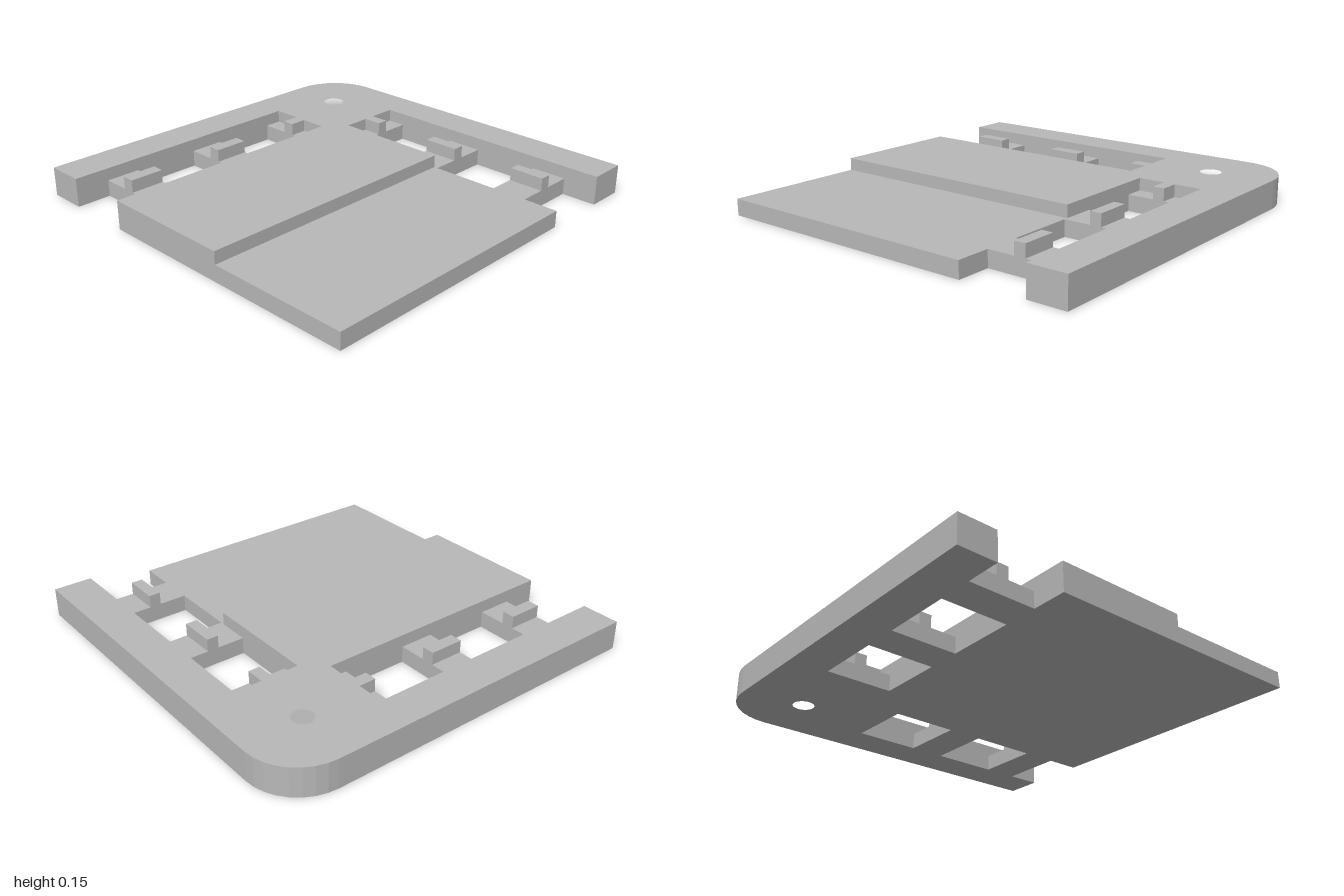
import * as THREE from 'three';

const LOW = 0.085, TOP = 0.15;      // ledge height and full height
const BACK = [-0.8, -0.45];         // z span of the back slot
const BACK_RIDGE = [-0.655, -0.59];
const SIDE = [0.455, 0.8];          // x span of the side slot
const SIDE_RIDGE = [0.595, 0.655];
const BACK_BRIDGES = [[-0.82, -0.64], [-0.28, -0.1]];
const SIDE_BRIDGES = [[0.09, 0.28], [0.635, 0.82]];
const STEP = 0.26;                  // z where the panel steps down

// plan points are [x, z]
const toV = (pts) => pts.map(([x, z]) => new THREE.Vector2(x, -z));
const rect = ([x0, x1], [z0, z1]) => [[x0, z0], [x0, z1], [x1, z1], [x1, z0]];

function roundedCorner(r = 0.27, n = 8) {
  const pts = [];
  for (let i = 0; i <= n; i++) {
    const a = (i / n) * Math.PI / 2;
    pts.push([1 - r + r * Math.sin(a), -1 + r - r * Math.cos(a)]);
  }
  return pts;
}

function circle(cx, cz, r, n = 24) {
  return Array.from({ length: n }, (_, i) => {
    const a = (i / n) * Math.PI * 2;
    return [cx + r * Math.cos(a), cz + r * Math.sin(a)];
  });
}

// Extrude a plan from y0 to y1, keeping the walls and only one of the two lids
function layer(outline, holes, y0, y1, lid) {
  const shape = new THREE.Shape(toV(outline));
  holes.forEach((h) => shape.holes.push(new THREE.Path(toV(h))));
  const g = new THREE.ExtrudeGeometry(shape, { depth: y1 - y0, bevelEnabled: false });
  const [lids, walls] = g.groups;
  const p = g.attributes.position.array;
  const half = lids.count / 2;
  const start = lid === 'bottom' ? 0 : half;
  const kept = [...p.slice(start * 3, (start + half) * 3), ...p.slice(walls.start * 3)];
  const out = new THREE.BufferGeometry();
  out.setAttribute('position', new THREE.Float32BufferAttribute(kept, 3));
  out.rotateX(-Math.PI / 2).translate(0, y0, 0);
  out.computeVertexNormals();
  return out;
}

export function createModel() {
  const group = new THREE.Group();
  group.name = 'slottedCornerPanel';
  const grey = new THREE.MeshStandardMaterial({ color: 0xb8b8b8 });
  grey.name = 'plain grey';
  const add = (name, geometry) => {
    const mesh = new THREE.Mesh(geometry, grey);
    mesh.name = name;
    group.add(mesh);
  };
  const ledge = (name, xs, zs) => {
    const g = new THREE.PlaneGeometry(xs[1] - xs[0], zs[1] - zs[0]).rotateX(-Math.PI / 2);
    add(name, g.translate((xs[0] + xs[1]) / 2, LOW, (zs[0] + zs[1]) / 2));
  };
  const pinHole = circle(0.675, -0.685, 0.055);

  // Lower layer: frame, panel and bridges with four windows
  add('base', layer(
    [[-1, -1], ...roundedCorner(), [1, 1], [0.8, 1], [0.8, 0.82], [0.455, 0.82], [0.455, 1],
      [-1, 1], [-1, -0.45], [-0.82, -0.45], [-0.82, -0.8], [-1, -0.8]],
    [pinHole, rect([-0.64, -0.28], BACK), rect([-0.1, 0.25], BACK),
      rect(SIDE, [-0.255, 0.09]), rect(SIDE, [0.28, 0.635])],
    0, LOW, 'bottom'));

  // Upper layer: frame arms, corner block with its two short tongues, raised panel
  add('frameAndRaisedPanel', layer(
    [[-1, -1], ...roundedCorner(), [1, 1], [0.8, 1],
      [0.8, -0.355], [0.655, -0.355], [0.655, -0.255], [0.595, -0.255], [0.595, -0.355], [0.455, -0.355],
      [0.455, STEP], [-1, STEP], [-1, -0.45],
      [0.34, -0.45], [0.34, -0.59], [0.25, -0.59], [0.25, -0.655], [0.34, -0.655], [0.34, -0.8], [-1, -0.8]],
    [pinHole], LOW, TOP, 'top'));

  // Ridges across the bridges
  BACK_BRIDGES.forEach((xs) => add('backRidge', layer(rect(xs, BACK_RIDGE), [], LOW, TOP, 'top')));
  SIDE_BRIDGES.forEach((zs) => add('sideRidge', layer(rect(SIDE_RIDGE, zs), [], LOW, TOP, 'top')));

  // Low surfaces: front panel, then the ledges on both sides of every ridge
  ledge('lowPanelTop', [-1, 0.455], [STEP, 1]);
  [...BACK_BRIDGES, [0.25, 0.34]].forEach((xs) => {
    ledge('backLedge', xs, [BACK[0], BACK_RIDGE[0]]);
    ledge('backLedge', xs, [BACK_RIDGE[1], BACK[1]]);
  });
  [...SIDE_BRIDGES, [-0.355, -0.255]].forEach((zs) => {
    ledge('sideLedge', [SIDE[0], SIDE_RIDGE[0]], zs);
    ledge('sideLedge', [SIDE_RIDGE[1], SIDE[1]], zs);
  });
  return group;
}
